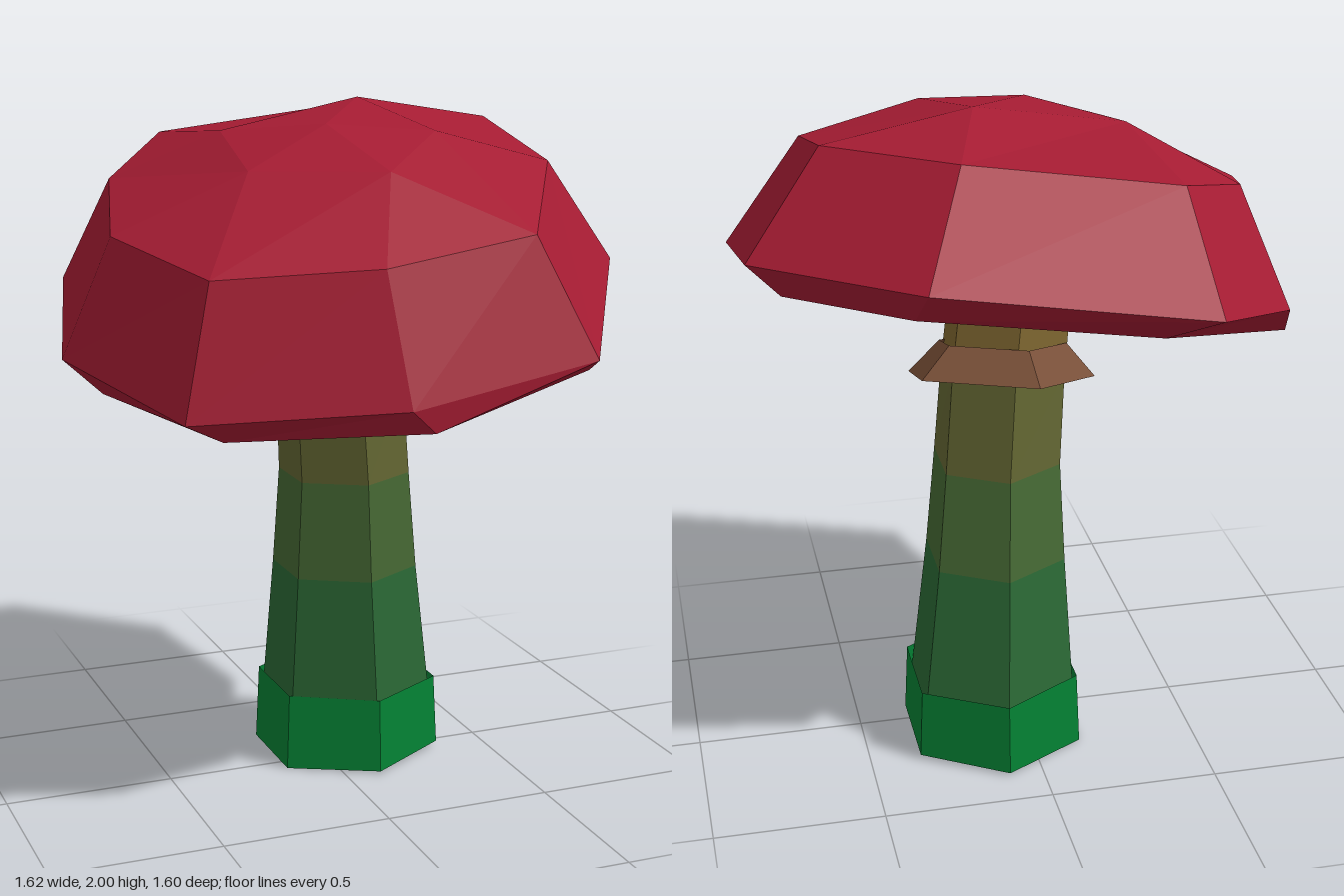
import * as THREE from 'three';

const mat = (name, color) => {
  const m = new THREE.MeshStandardMaterial({ color, side: THREE.DoubleSide, flatShading: true });
  m.name = name;
  return m;
};

// Joins two rings that run the same way round; map[i] picks the upper point for lower point i.
function strip(low, high, map = low.map((_, i) => i)) {
  const out = [];
  const tri = (a, b, c) => {
    if (a !== b && b !== c && a !== c) out.push(...a, ...b, ...c);
  };
  low.forEach((a0, i) => {
    const j = (i + 1) % low.length;
    const b0 = high[map[i]], b1 = high[map[j]];
    tri(low[j], a0, b0);
    tri(low[j], b0, b1);
  });
  return out;
}

function mesh(name, material, ...strips) {
  const g = new THREE.BufferGeometry();
  g.setAttribute('position', new THREE.Float32BufferAttribute(strips.flat(), 3));
  g.computeVertexNormals();
  const m = new THREE.Mesh(g, material);
  m.name = name;
  return m;
}

// Height on the tilted planes that the cap is layered along
const tilt = (x, z, h) => h + 0.155 * x - 0.23 * z;
const layer = (pts, h) => pts.map(([x, z]) => [x, tilt(x, z, h), z]);

// Ring of n points around a centre, starting at angle t0 from the back
const ring = (n, r, cx, cz, yAt, t0 = 0) => Array.from({ length: n }, (_, i) => {
  const t = t0 + (i / n) * Math.PI * 2;
  const x = cx + r * Math.sin(t), z = cz - r * Math.cos(t);
  return [x, yAt(x, z), z];
});

export function createModel() {
  const red = mat('cap red', 0xa61c33);
  const olive = mat('gill olive', 0x767a2b);
  const brown = mat('skirt brown', 0x774d35);
  const green = mat('base green', 0x048234);
  const bands = [
    mat('stem green', 0x2b6935),
    mat('stem moss', 0x466934),
    mat('stem khaki', 0x646733),
    mat('stem tan', 0x7f6730),
  ];
  const model = new THREE.Group();
  model.name = 'mushroom';

  // Cap: uneven nine-sided rings closing to a five-sided crown
  const lower = layer([[-0.26, -0.64], [0.4, -0.62], [0.71, -0.32], [0.73, 0.12], [0.51, 0.67],
    [0, 0.79], [-0.51, 0.57], [-0.72, 0.16], [-0.71, -0.31]], 1.386);
  const rim = layer([[-0.37, -0.8], [0.38, -0.71], [0.8, -0.3], [0.81, 0.23], [0.48, 0.78],
    [-0.07, 0.8], [-0.62, 0.59], [-0.81, 0.07], [-0.67, -0.45]], 1.465);
  const shoulder = layer([[-0.33, -0.55], [0.25, -0.48], [0.575, -0.16], [0.585, 0.25], [0.33, 0.69],
    [-0.1, 0.69], [-0.53, 0.53], [-0.68, 0.13], [-0.57, -0.27]], 1.802);
  const crown = [[0.15, 2, -0.13], [0.24, 1.93, 0.23], [0.02, 1.845, 0.43],
    [-0.32, 1.84, 0.24], [-0.29, 1.92, -0.09]];
  const apex = [[-0.05, 1.95, 0.13]];
  model.add(mesh('cap', red,
    strip(lower, rim),
    strip(rim, shoulder),
    strip(shoulder, crown, [4, 0, 0, 1, 2, 2, 3, 3, 4]),
    strip(crown, apex, [0, 0, 0, 0, 0])));

  // Gills: pleated underside, every second outer point raised, open around the stem
  const pleats = lower.flatMap((p, i) => {
    const q = lower[(i + 1) % 9];
    return [p, [(p[0] + q[0]) / 2, (p[1] + q[1]) / 2 + 0.07, (p[2] + q[2]) / 2]];
  });
  const start = Math.atan2(lower[0][0], -lower[0][2]);
  const throat = ring(18, 0.21, 0.02, 0.01, (x, z) => tilt(x, z, 1.44), start);
  model.add(mesh('gills', olive, strip(throat, pleats)));

  // Stem: leaning six-sided column in four colour bands, open at the foot
  const flat = (y) => () => y;
  const stemRings = [
    ring(6, 0.277, 0.105, -0.096, (x) => 0.005 + 0.03 * (x + 0.14)),
    ring(6, 0.22, 0.08, -0.052, flat(0.6)),
    ring(6, 0.197, 0.068, -0.027, flat(0.9)),
    ring(6, 0.19, 0.045, -0.005, (x, z) => tilt(x, z, 1.17)),
    ring(6, 0.185, 0.02, 0.01, (x, z) => tilt(x, z, 1.4)),
  ];
  bands.forEach((m, i) => {
    model.add(mesh('stemBand' + (i + 1), m, strip(stemRings[i], stemRings[i + 1])));
  });

  // Base collar: open sleeve around the foot
  const collar = mesh('baseCollar', green, strip(
    ring(6, 0.286, 0.102, -0.09, (x) => 0.03 * (x + 0.146)),
    ring(6, 0.275, 0.102, -0.09, flat(0.23))));
  model.add(collar);

  // Skirt: tilted flaring collar under the cap
  const hem = [[0, 1.23, -0.31], [0.31, 1.22, -0.16], [0.31, 1.15, 0.08],
    [0.07, 1.09, 0.27], [-0.24, 1.08, 0.19], [-0.2, 1.18, -0.14]];
  const c = [0.035, 1.16, -0.01];
  const neck = hem.map((p) => p.map((v, k) => c[k] + (v - c[k]) * 0.68 + (k === 1 ? 0.1 : 0)));
  model.add(mesh('skirt', brown, strip(hem, neck)));

  return model;
}
